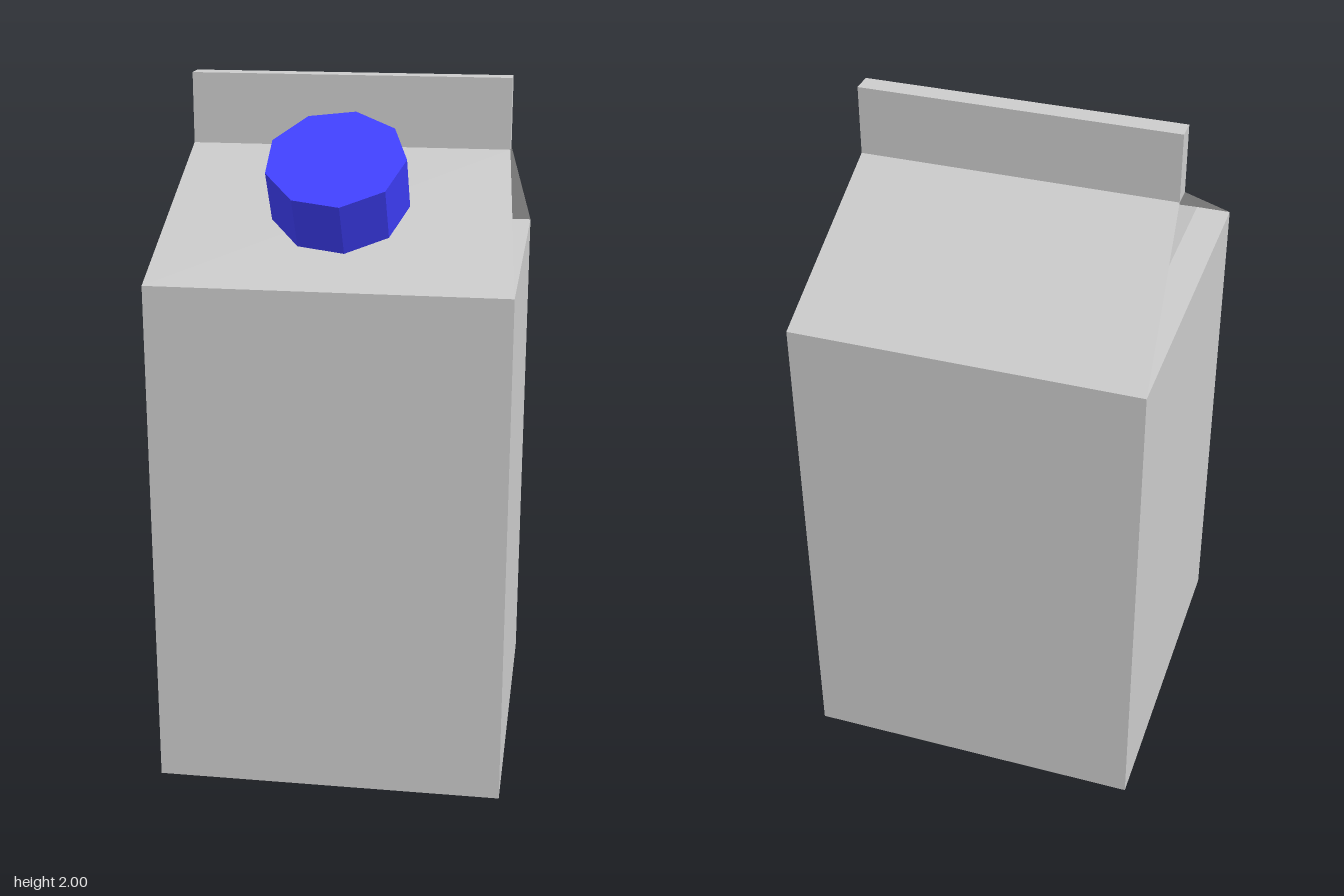
import * as THREE from 'three';

const SHOULDER = 1.49, RIDGE = 1.8, TOP = 2;

const grey = new THREE.MeshStandardMaterial({ color: 0xcccccc, flatShading: true });
const blue = new THREE.MeshStandardMaterial({ color: 0x4040ff, flatShading: true });

function addMesh(parent, name, geometry, material = grey) {
  const mesh = new THREE.Mesh(geometry, material);
  mesh.name = name;
  parent.add(mesh);
  return mesh;
}

// Flat four-cornered panels, corners counter-clockwise from outside
function quads(list) {
  const points = list.flatMap(([a, b, c, d]) => [a, b, c, a, c, d]);
  const geometry = new THREE.BufferGeometry();
  geometry.setAttribute('position', new THREE.Float32BufferAttribute(points.flat(), 3));
  geometry.computeVertexNormals();
  return geometry;
}

// One sloping roof panel and one folded-in gable; the other half is this turned round
function roofHalf() {
  const half = new THREE.Group();
  const outer = [[0.5, SHOULDER, 0.5], [0.455, RIDGE, 0.03], [0.455, RIDGE, -0.03], [0.5, SHOULDER, -0.5]];
  const inner = [[0.4, SHOULDER, 0.5], [0.36, 1.76, 0.025], [0.36, 1.76, -0.025], [0.4, SHOULDER, -0.5]];
  const mirrorX = ([x, y, z]) => [-x, y, z];

  addMesh(half, 'roofPanel', quads([[mirrorX(outer[0]), outer[0], outer[1], mirrorX(outer[1])]]));
  addMesh(half, 'gablePanel', quads([[inner[0], inner[3], inner[2], inner[1]]]));

  // Underside of the roof overhang, from its edge in to the gable
  const folds = [0, 1, 2].map((i) => [outer[i], inner[i], inner[i + 1], outer[i + 1]]);
  addMesh(half, 'gableFolds', quads(folds));
  return half;
}

export function createModel() {
  const carton = new THREE.Group();
  carton.name = 'carton';

  // Body, whose top shows as the ledge under each gable
  addMesh(carton, 'body', new THREE.BoxGeometry(1, SHOULDER, 1)).position.y = SHOULDER / 2;

  // Roof
  ['roofFront', 'roofBack'].forEach((name, i) => {
    const half = roofHalf();
    half.name = name;
    half.rotation.y = i * Math.PI;
    carton.add(half);
  });

  // Sealed fin along the ridge
  addMesh(carton, 'topFin', new THREE.BoxGeometry(0.91, TOP - RIDGE, 0.06))
    .position.y = (TOP + RIDGE) / 2;

  // Nine-sided screw cap standing square on the front slope
  const cap = addMesh(carton, 'cap',
    new THREE.CylinderGeometry(0.194, 0.194, 0.17, 9, 1, false, Math.PI / 2), blue);
  cap.position.set(0, 1.743, 0.271);
  cap.rotation.x = 0.56;

  return carton;
}
